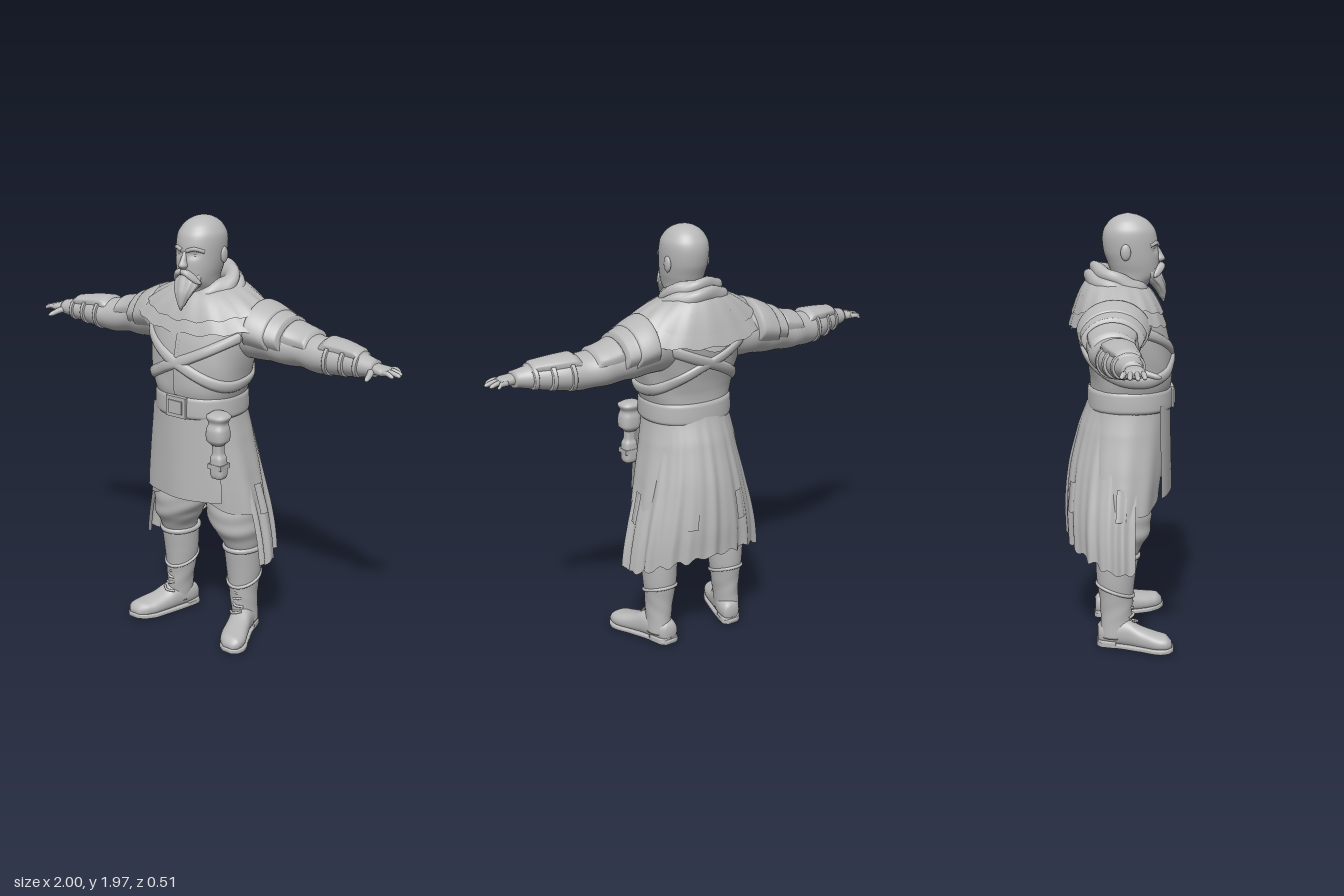
import * as THREE from 'three';
import { mergeVertices } from 'three/addons/utils/BufferGeometryUtils.js';

const { sin, cos, PI, abs, sign, max, min } = Math;

// Surface from a rule p(u, v), u and v in 0..1; seams and poles are welded
function grid(fn, nu, nv) {
  const pos = [], idx = [];
  for (let j = 0; j <= nv; j++) for (let i = 0; i <= nu; i++) pos.push(...fn(i / nu, j / nv));
  for (let j = 0; j < nv; j++) for (let i = 0; i < nu; i++) {
    const a = j * (nu + 1) + i, b = a + 1, c = a + nu + 1, d = c + 1;
    idx.push(a, b, d, a, d, c);
  }
  let g = new THREE.BufferGeometry();
  g.setAttribute('position', new THREE.Float32BufferAttribute(pos, 3));
  g.setIndex(idx);
  g = mergeVertices(g, 1e-5);
  g.computeVertexNormals();
  return g;
}

// Smoothly interpolated cross-section [t, c1, c2, r1, r2] at t
function ringAt(rows, t) {
  let k = 0;
  while (k < rows.length - 2 && t > rows[k + 1][0]) k++;
  const f = (t - rows[k][0]) / (rows[k + 1][0] - rows[k][0]);
  const at = i => rows[max(0, min(rows.length - 1, i))];
  return rows[k].map((_, n) => {
    const [p, q, r, s] = [at(k - 1)[n], at(k)[n], at(k + 1)[n], at(k + 2)[n]];
    return n ? q + 0.5 * f * (r - p + f * (2 * p - 5 * q + 4 * r - s + f * (3 * (q - r) + s - p))) : t;
  });
}

// Point on a loft: angle 0 faces +z (y axis), +y (x axis) or +x (z axis)
function surfacePoint(axis, rows, a, t, { p = 2, fold, offset = 0 } = {}, scale = 1) {
  const [, c1, c2, r1, r2] = ringAt(rows, t);
  const k = fold ? fold(a, t) : 1;
  const se = v => sign(v) * abs(v) ** (2 / p);
  const e1 = c1 + scale * (max(r1, 0) * k + offset) * se(sin(a));
  const e2 = c2 + scale * (max(r2, 0) * k + offset) * se(cos(a));
  return axis === 'y' ? [e1, t, e2] : axis === 'x' ? [t, e2, e1] : [e2, e1, t];
}

// Loft through cross-sections; arc = [start, end] makes an open sheet, otherwise the ends are capped
function loft(axis, rows, o = {}) {
  const { nu = 40, nv = 40, arc, warp } = o, t0 = rows[0][0], t1 = rows[rows.length - 1][0];
  const [a0, a1] = arc || [0, 2 * PI];
  return grid((u, v) => {
    const cap = !arc && (v === 0 || v === 1);
    const w = arc ? v : max(0, min(1, (v * nv - 1) / (nv - 2)));
    const a = a0 + (a1 - a0) * u;
    const q = surfacePoint(axis, rows, a, t0 + (t1 - t0) * w, o, cap ? 0 : 1);
    return warp ? warp(q, a, w) : q;
  }, nu, nv);
}

function mirrored(g) {
  const m = g.clone().scale(-1, 1, 1), ix = m.index.array;
  for (let i = 0; i < ix.length; i += 3) [ix[i], ix[i + 1]] = [ix[i + 1], ix[i]];
  return m;
}

export function createModel() {
  const root = new THREE.Group();
  const grey = new THREE.MeshStandardMaterial({ color: 0xb8b8b8, side: THREE.DoubleSide });
  const add = (name, g) => { const m = new THREE.Mesh(g, grey); m.name = name; root.add(m); };
  const pair = (name, g) => { add(name + 'Left', g); add(name + 'Right', mirrored(g)); };
  const ball = (x, y, z, rx, ry, rz) => new THREE.SphereGeometry(1, 20, 14).scale(rx, ry, rz).translate(x, y, z);
  const box = (x, y, z, w, h, d) => new THREE.BoxGeometry(w, h, d).translate(x, y, z);
  const tube = (pts, r) => new THREE.TubeGeometry(
    new THREE.CatmullRomCurve3(pts.map(q => new THREE.Vector3(...q))), 20, r, 8);

  // Head with brow, nose, ears and facial hair
  add('head', loft('y', [[1.58, 0, 0.02, 0.08, 0.08], [1.66, 0, 0.04, 0.08, 0.09], [1.7, 0, 0.065, 0.083, 0.105],
    [1.75, 0, 0.06, 0.094, 0.115], [1.8, 0, 0.05, 0.101, 0.123], [1.86, 0, 0.044, 0.104, 0.124],
    [1.9, 0, 0.042, 0.099, 0.115], [1.935, 0, 0.04, 0.079, 0.091], [1.955, 0, 0.038, 0.056, 0.064],
    [1.967, 0, 0.036, 0.03, 0.034], [1.972, 0, 0.035, 0.006, 0.006]], {
    nv: 60, p: 2.1, fold: (a, t) => 1 - 0.09 * Math.exp(-(((abs(a > PI ? a - 2 * PI : a) - 0.42) / 0.2) ** 2) - ((t - 1.815) / 0.016) ** 2),
  }));
  add('nose', loft('y', [[1.752, 0, 0.172, 0.008, 0.008], [1.765, 0, 0.177, 0.021, 0.026],
    [1.79, 0, 0.172, 0.014, 0.021], [1.83, 0, 0.16, 0.01, 0.012]], { nu: 16, nv: 14 }));
  pair('brow', tube([[0.012, 1.832, 0.17], [0.045, 1.842, 0.16], [0.078, 1.83, 0.128]], 0.009));
  pair('eye', ball(0.04, 1.813, 0.142, 0.014, 0.008, 0.011));
  pair('ear', ball(0.102, 1.805, 0.02, 0.012, 0.036, 0.023));
  add('beard', loft('y', [[1.575, 0, 0.197, 0.004, 0.004], [1.6, 0, 0.192, 0.018, 0.016], [1.65, 0, 0.175, 0.045, 0.032],
    [1.69, 0, 0.145, 0.064, 0.048], [1.73, 0, 0.125, 0.066, 0.05]], { fold: (a, t) => 1 + 0.05 * sin(9 * a + 20 * t) }));
  pair('moustache', loft('x', [[0, 0.186, 1.742, 0.014, 0.012], [0.03, 0.182, 1.735, 0.018, 0.016],
    [0.055, 0.165, 1.712, 0.014, 0.016], [0.075, 0.15, 1.695, 0.004, 0.005]], { nu: 16, nv: 16 }));

  // Scarf rolls, higher at the nape
  const roll = (name, y, rx, rz, r) => add(name, grid((u, v) => {
    const a = u * 2 * PI, b = -v * 2 * PI, k = r * (1 + 0.1 * sin(5 * a + 2 * b));
    const z = cos(a) * (rz + k * cos(b));
    return [sin(a) * (rx + k * cos(b)), y - 0.42 * z - k * 1.1 * sin(b), z];
  }, 56, 18));
  roll('scarfUpper', 1.672, 0.108, 0.098, 0.038);
  roll('scarfLower', 1.622, 0.13, 0.12, 0.042);

  // Torso, bloused over the belt
  const torso = [[1.06, 0, 0.045, 0.195, 0.175], [1.17, 0, 0.045, 0.2, 0.18], [1.215, 0, 0.05, 0.215, 0.186],
    [1.26, 0, 0.048, 0.226, 0.19], [1.35, 0, 0.035, 0.242, 0.198], [1.45, 0, 0.014, 0.258, 0.2],
    [1.55, 0, -0.01, 0.262, 0.188], [1.62, 0, -0.02, 0.2, 0.155], [1.68, 0, -0.01, 0.11, 0.11]];
  const torsoLook = { p: 2.25, fold: (a, t) => 1 + 0.012 * sin(7 * a + 25 * t) * max(0, 1 - abs(t - 1.3) / 0.15) };
  add('torso', loft('y', torso, { ...torsoLook, nu: 72, nv: 50 }));
  add('tunicSeam', grid((u, v) => surfacePoint('y', torso, (u - 0.5) * 0.05, 1.2 + 0.34 * v, { ...torsoLook, offset: 0.005 }), 4, 20));

  // Crossed straps looping around the body
  for (const s of [-1, 1]) add('strap', grid((u, v) => {
    const a = u * 2 * PI, y = 1.345 - s * 0.12 * sin(a) + 0.04 * (1 - cos(a)) / 2 + (v - 0.5) * 0.055;
    return surfacePoint('y', torso, a, y, { ...torsoLook, offset: 0.014 * sin(PI * v) ** 0.4 });
  }, 80, 8));

  // Layered mantle over the shoulders
  const mantle = (name, drop, rx, rz, top) => add(name, grid((u, v) => {
    const a = u * 2 * PI, s = sin(a), c = cos(a), k = 1 - v, e = k ** 0.85;
    const ragged = 0.006 * sin(17 * a) * k;
    return [s * (0.12 + (rx - 0.12) * e), top - k * (drop + 0.05 * c * c) - 0.02 * k * k + ragged - 0.16 * c * 0.14 * v,
      -0.01 + c * (0.115 + (rz - 0.115) * k ** 0.6)];
  }, 72, 16));
  mantle('mantleLower', 0.115, 0.375, 0.222, 1.66);
  mantle('mantleUpper', 0.075, 0.315, 0.208, 1.675);
  add('mantleBackPanel', grid((u, v) => {
    const a = PI + (0.5 - u) * -1.1;
    return [sin(a) * 0.2, 1.5 + 0.12 * v - 0.05 * cos((u - 0.5) * PI), -0.015 + cos(a) * (0.208 - 0.025 * v)];
  }, 14, 8));

  // Sleeves, overlapping shoulder plates and bracers
  const arm = [[0.16, -0.02, 1.47, 0.13, 0.12], [0.28, -0.04, 1.472, 0.135, 0.118], [0.38, -0.048, 1.45, 0.12, 0.1],
    [0.5, -0.058, 1.43, 0.1, 0.083], [0.6, -0.042, 1.42, 0.092, 0.078], [0.7, -0.03, 1.423, 0.08, 0.068],
    [0.8, -0.008, 1.425, 0.06, 0.052], [0.88, 0.005, 1.425, 0.042, 0.036]];
  const armFold = (a, t) => 1 + 0.022 * sin(45 * t + 3 * sin(a)) * sin(PI * min(1, max(0, (t - 0.16) / 0.7)));
  pair('sleeve', loft('x', arm, { nv: 60, fold: armFold }));
  const armPlate = (name, x0, x1, half, off, flare = 0) => pair(name, grid((u, v) => {
    const rim = min(1, 8 * min(u, 1 - u, v, 1 - v));
    return surfacePoint('x', arm, (u - 0.5) * 2 * half, x0 + (x1 - x0) * v, { offset: (off + flare * v) * rim - 0.004 * (1 - rim) });
  }, 36, 16));
  armPlate('shoulderPlateInner', 0.26, 0.38, 1.9, 0.03);
  armPlate('shoulderPlateMiddle', 0.35, 0.43, 1.75, 0.026);
  armPlate('shoulderPlateOuter', 0.42, 0.55, 1.3, 0.016);
  armPlate('bracer', 0.6, 0.82, 0.95, 0.017);
  for (const x of [0.64, 0.72, 0.79]) armPlate('bracerStrap', x, x + 0.022, PI, 0.009);

  // Hands
  pair('palm', loft('x', [[0.84, 0.003, 1.425, 0.032, 0.026], [0.88, 0.01, 1.425, 0.037, 0.022],
    [0.92, 0.01, 1.423, 0.044, 0.019], [0.945, 0.006, 1.42, 0.04, 0.014]], { nu: 24, nv: 16, p: 2.4 }));
  [[-0.029, -0.042, 0.968], [-0.006, -0.012, 0.99], [0.017, 0.018, 1], [0.04, 0.046, 0.983]].forEach(([z0, z1, tip]) =>
    pair('finger', loft('x', [[0.915, z0, 1.423, 0.011, 0.011], [0.95, (z0 + z1) / 2, 1.424, 0.011, 0.011],
      [tip - 0.008, z1, 1.416, 0.009, 0.009], [tip, z1, 1.414, 0.003, 0.003]], { nu: 12, nv: 14 })));
  pair('thumb', loft('z', [[0.02, 1.42, 0.868, 0.016, 0.018], [0.06, 1.413, 0.88, 0.014, 0.015],
    [0.1, 1.403, 0.89, 0.011, 0.011], [0.116, 1.4, 0.893, 0.004, 0.004]], { nu: 14, nv: 14 }));

  // Tunic skirt, split in front, with the apron panel over it
  add('tunicSkirt', loft('y', [[0.64, 0, 0.005, 0.295, 0.175], [0.8, 0, 0.01, 0.268, 0.19], [1, 0, 0.025, 0.226, 0.19],
    [1.14, 0, 0.04, 0.2, 0.18]], {
    arc: [0, 2 * PI], nu: 96, p: 2.2, fold: (a, t) => 1 + 0.02 * sin(11 * a) * (1.14 - t) * 2,
    warp: ([x, y, z], a, w) => [x, y + 0.09 * (1 - w) * max(0, cos(a)) ** 6, z],
  }));
  add('apron', loft('y', [[0.71, 0, 0, 0.31, 0.24], [0.9, 0, 0, 0.295, 0.236], [1.13, 0, 0, 0.27, 0.232]], {
    arc: [-0.75, 0.75], nu: 30, fold: (a, t) => 1 + 0.015 * sin(8 * a + 1) * (1.13 - t) * 2,
  }));

  // Long coat skirt, open in front, with sewn patches
  const coat = [[0.42, 0, 0, 0.345, 0.245], [0.59, 0, 0, 0.318, 0.25], [0.8, 0, 0.01, 0.264, 0.243],
    [1, 0, 0.022, 0.218, 0.212], [1.15, 0, 0.035, 0.197, 0.18]];
  const coatLook = {
    fold: (a, t) => 1 + 0.035 * (1.15 - t) * (sin(19 * a) + 0.6 * sin(31 * a + 1)),
    warp: ([x, y, z], a, w) => [x, y + (1 - w) * (0.06 * cos(a) ** 2 - 0.03 * abs(sin(a)) ** 8 + 0.01 * sin(23 * a)), z],
  };
  add('coatSkirt', loft('y', coat, { ...coatLook, arc: [1.35, 2 * PI - 1.35], nu: 120 }));
  for (const a of [1.62, 2.7]) pair('coatPatch', grid((u, v) =>
    surfacePoint('y', coat, a + (u - 0.5) * 0.18, 0.63 + 0.14 * v, { ...coatLook, offset: 0.01 }), 6, 8));

  // Belt, buckle and hanging pouches
  add('belt', loft('y', [[1.095, 0, 0.045, 0.205, 0.188], [1.105, 0, 0.045, 0.214, 0.195], [1.185, 0, 0.045, 0.212, 0.193],
    [1.195, 0, 0.045, 0.203, 0.186]], { p: 2.2, nu: 64, nv: 16 }));
  add('buckle', box(0.005, 1.145, 0.235, 0.11, 0.095, 0.02));
  add('bucklePlate', box(0.005, 1.145, 0.247, 0.075, 0.06, 0.008));
  add('pouch', loft('y', [[1, 0.205, 0.195, 0.03, 0.03], [1.02, 0.205, 0.195, 0.05, 0.046], [1.07, 0.205, 0.195, 0.05, 0.048],
    [1.1, 0.205, 0.192, 0.042, 0.04], [1.13, 0.205, 0.19, 0.054, 0.05], [1.145, 0.205, 0.185, 0.035, 0.03]], { p: 2.6, nv: 24 }));
  add('flask', loft('y', [[0.845, 0.21, 0.195, 0.03, 0.028], [0.86, 0.21, 0.195, 0.035, 0.033], [0.94, 0.208, 0.195, 0.034, 0.032],
    [0.955, 0.208, 0.195, 0.025, 0.025], [1.01, 0.206, 0.195, 0.025, 0.025]], { p: 3, nv: 24 }));
  add('flaskBand', box(0.209, 0.9, 0.195, 0.074, 0.022, 0.07));

  // Baggy trousers tucked into the boots
  pair('trouserLeg', loft('y', [[0.42, 0.188, -0.02, 0.075, 0.085], [0.48, 0.185, -0.01, 0.088, 0.1], [0.53, 0.175, 0, 0.11, 0.122],
    [0.6, 0.158, 0.005, 0.128, 0.132], [0.7, 0.145, 0, 0.13, 0.13], [0.85, 0.115, 0, 0.115, 0.13], [1, 0.09, 0.02, 0.1, 0.13]], {
    nv: 56, fold: (a, t) => 1 + 0.03 * sin(70 * t + 2 * sin(a) + cos(2 * a)) * max(0, 1 - abs(t - 0.55) / 0.16),
  }));

  // Boots with cuffs, laces, soles and heels
  const shaft = [[0.05, 0.2, -0.03, 0.056, 0.07], [0.14, 0.195, -0.026, 0.058, 0.072], [0.22, 0.19, -0.026, 0.066, 0.076],
    [0.32, 0.188, -0.028, 0.078, 0.088], [0.45, 0.188, -0.022, 0.084, 0.1]];
  pair('bootShaft', loft('y', shaft, { nv: 40, fold: (a, t) => 1 + 0.02 * sin(60 * t + 3 * a) * max(0, 1 - abs(t - 0.18) / 0.1) }));
  const bootBand = (name, y, h, slant) => pair(name, grid((u, v) =>
    surfacePoint('y', shaft, u * 2 * PI, y + slant * cos(u * 2 * PI) + h * v, { offset: 0.009 * sin(PI * v) ** 0.4 }), 40, 6));
  bootBand('bootCuff', 0.425, 0.025, 0);
  bootBand('bootWrap', 0.265, 0.018, -0.03);
  pair('bootFoot', loft('z', [[-0.112, 0.06, 0.18, 0.035, 0.03], [-0.1, 0.062, 0.182, 0.05, 0.045], [-0.05, 0.07, 0.192, 0.06, 0.057],
    [0.02, 0.072, 0.212, 0.065, 0.058], [0.08, 0.056, 0.235, 0.05, 0.062], [0.15, 0.046, 0.262, 0.04, 0.067],
    [0.2, 0.043, 0.277, 0.033, 0.054], [0.222, 0.036, 0.283, 0.016, 0.028]], { p: 2.3, nv: 36 }));
  pair('sole', loft('z', [[-0.116, 0.014, 0.18, 0.012, 0.03], [-0.1, 0.013, 0.182, 0.013, 0.05], [-0.02, 0.013, 0.2, 0.012, 0.056],
    [0.08, 0.013, 0.235, 0.012, 0.066], [0.16, 0.013, 0.266, 0.013, 0.072], [0.21, 0.015, 0.28, 0.013, 0.052],
    [0.23, 0.018, 0.285, 0.01, 0.026]], { p: 5, nv: 30 }));
  pair('heel', loft('z', [[-0.112, 0.018, 0.18, 0.018, 0.034], [-0.095, 0.018, 0.183, 0.018, 0.05], [-0.03, 0.018, 0.197, 0.018, 0.054]], { p: 6, nv: 12 }));
  for (let i = 0; i < 5; i++) {
    const y = 0.12 + 0.032 * i, z = 0.056 - 0.003 * i + (i ? 0 : 0.015), x = 0.202 - 0.002 * i, s = i % 2 ? 1 : -1;
    pair('lace', tube([[x - 0.032, y + s * 0.008, z - 0.022], [x, y, z], [x + 0.032, y - s * 0.008, z - 0.022]], 0.006));
  }
  return root;
}
